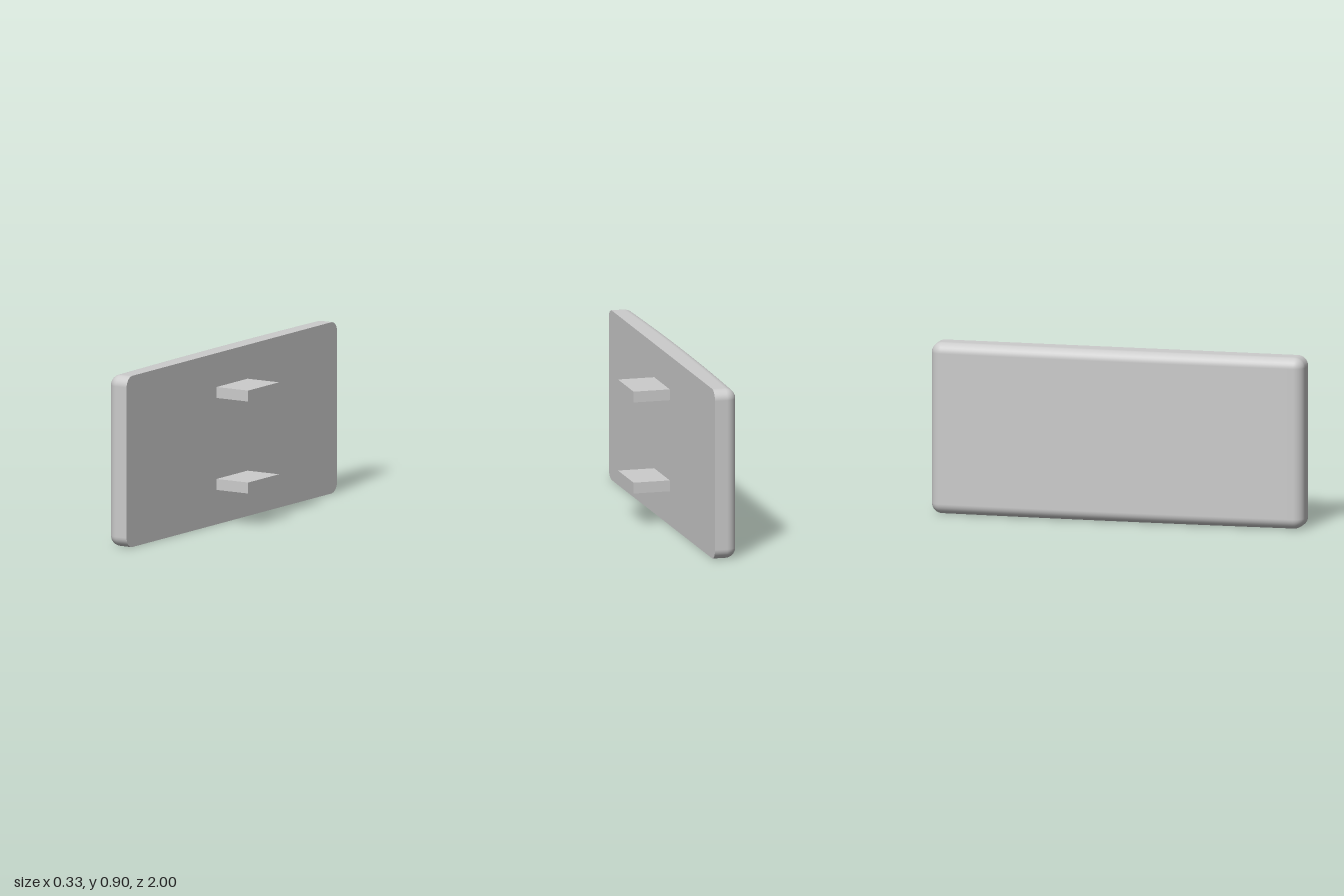
import * as THREE from 'three';

const R = 0.055;            // edge and corner rounding
const HEIGHT = 0.905;
const BACK = -0.03;         // x of the flat mounting face
const faceX = z => -0.168 + 0.016 * z * z;   // gently bowed outer face

// Rounded rectangle as inner-corner centre plus outward direction
function outline(arcSteps, edgeSteps) {
  const pts = [];
  const zi = 1 - R;
  const corners = [[zi, HEIGHT - R], [-zi, HEIGHT - R], [-zi, R], [zi, R]];
  corners.forEach(([z, y], c) => {
    for (let i = 0; i <= arcSteps; i++) {
      const t = (c + i / arcSteps) * Math.PI / 2;
      pts.push({ z, y, dz: Math.cos(t), dy: Math.sin(t) });
    }
    // long edges are divided so they can follow the bow
    if (c % 2 === 0) {
      for (let i = 1; i < edgeSteps; i++) {
        pts.push({ z: z * (1 - 2 * i / edgeSteps), y, dz: 0, dy: c === 0 ? 1 : -1 });
      }
    }
  });
  return pts;
}

function panelGeometry() {
  const arc = 8, edge = 32;
  const loop = outline(arc, edge), n = loop.length;
  const pos = [], nor = [], index = [];
  const rings = arc + 2;

  // side wall followed by the quarter-round fillet
  for (let k = 0; k < rings; k++) {
    const a = Math.max(0, k - 1) / arc * Math.PI / 2;
    const c = Math.cos(a), s = Math.sin(a);
    for (const p of loop) {
      const z = p.z + p.dz * R * c, y = p.y + p.dy * R * c;
      pos.push(k === 0 ? BACK : faceX(z) + R * (1 - s), y, z);
      const v = new THREE.Vector3(-s, p.dy * c, p.dz * c + 0.032 * z * s).normalize();
      nor.push(v.x, v.y, v.z);
    }
  }
  for (let k = 0; k < rings - 1; k++) {
    for (let j = 0; j < n; j++) {
      const a = k * n + j, b = k * n + (j + 1) % n;
      index.push(a, b, b + n, a, b + n, a + n);
    }
  }

  // bowed face: strips between the upper and lower edges
  const last = (rings - 1) * n;
  for (let k = 0; k < edge; k++) {
    const top = last + arc + k, bottom = last + n / 2 + arc + edge - k;
    index.push(top, top + 1, bottom - 1, top, bottom - 1, bottom);
  }

  // flat mounting face
  const start = pos.length / 3;
  for (const p of loop) {
    pos.push(BACK, p.y + p.dy * R, p.z + p.dz * R);
    nor.push(1, 0, 0);
  }
  pos.push(BACK, HEIGHT / 2, 0);
  nor.push(1, 0, 0);
  for (let j = 0; j < n; j++) index.push(start + n, start + (j + 1) % n, start + j);

  const geometry = new THREE.BufferGeometry();
  geometry.setAttribute('position', new THREE.Float32BufferAttribute(pos, 3));
  geometry.setAttribute('normal', new THREE.Float32BufferAttribute(nor, 3));
  geometry.setIndex(index);
  return geometry;
}

export function createModel() {
  const group = new THREE.Group();
  const material = new THREE.MeshStandardMaterial({ color: 0xcccccc });

  const panel = new THREE.Mesh(panelGeometry(), material);
  panel.name = 'panel';
  group.add(panel);

  // two mounting tabs
  const tabLength = 0.166 - BACK;
  for (const [name, y] of [['lowerTab', 0.211], ['upperTab', 0.697]]) {
    const tab = new THREE.Mesh(new THREE.BoxGeometry(tabLength, 0.058, 0.294), material);
    tab.name = name;
    tab.position.set(BACK + tabLength / 2, y, -0.002);
    group.add(tab);
  }
  return group;
}
